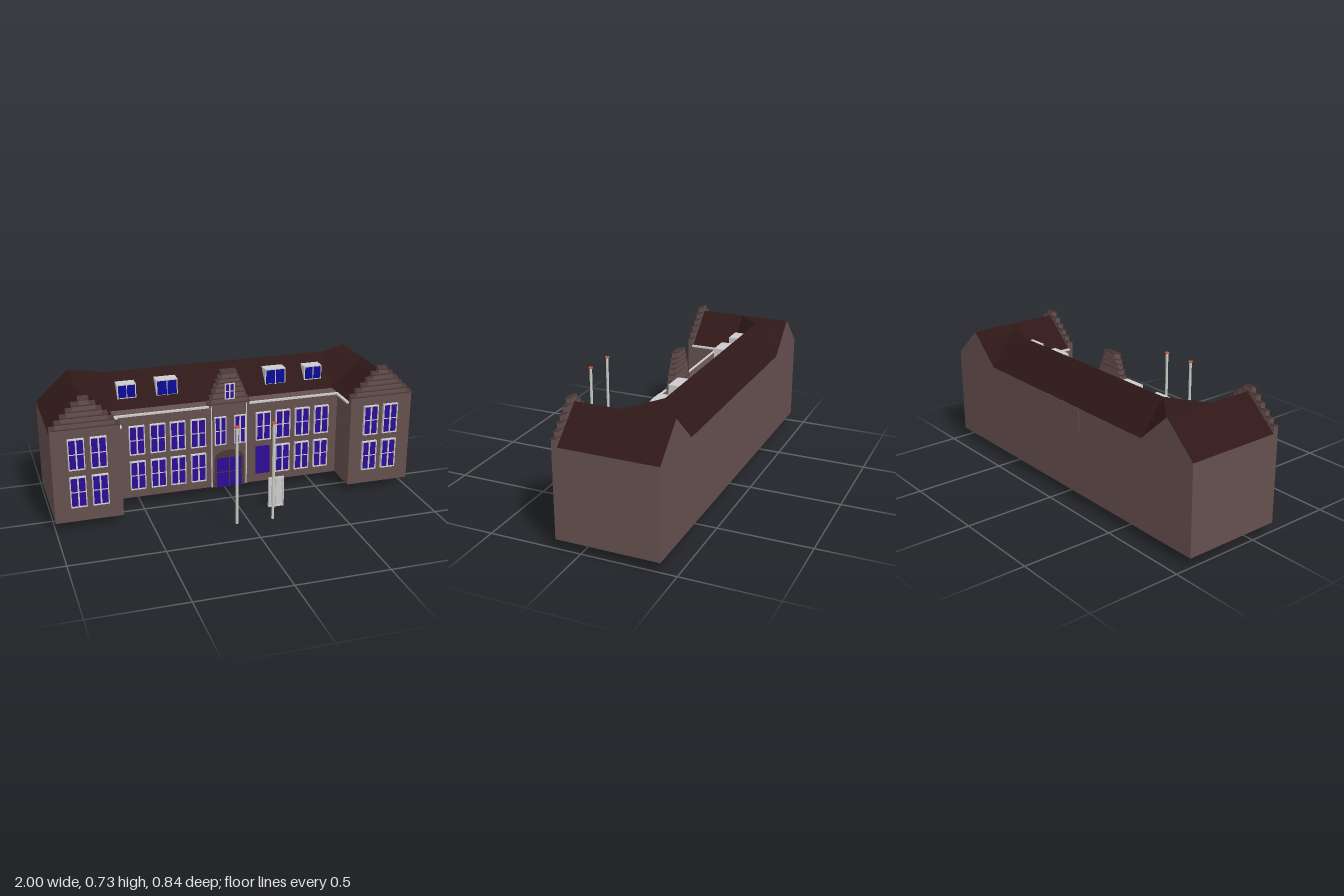
import * as THREE from 'three';

const mat = (color, side = THREE.FrontSide) =>
  new THREE.MeshStandardMaterial({ color, side, flatShading: true });
const WALL = mat(0x65504e), ROOF = mat(0x301818, THREE.DoubleSide), GREY = mat(0xcccccc);
const PANE = mat(0x2c0c96), DORMER_PANE = mat(0x0c0c96), CAP = mat(0xc85a32), TRIM = mat(0x4a3836);
const BASE = 0.05, EAVE = 0.535, RIDGE = 0.70, BACK = -0.415, FRONT = -0.06, WING = 0.135;

export function createModel() {
  const root = new THREE.Group();

  const add = (parent, name, geometry, material) => {
    const m = new THREE.Mesh(geometry, material);
    m.name = name;
    parent.add(m);
    return m;
  };
  // box given by its limits on each axis
  const box = (parent, name, material, x0, x1, y0, y1, z0, z1) => {
    const m = add(parent, name, new THREE.BoxGeometry(x1 - x0, y1 - y0, z1 - z0), material);
    m.position.set((x0 + x1) / 2, (y0 + y1) / 2, (z0 + z1) / 2);
    return m;
  };
  // flat polygons, each a fan of corner points
  const faces = (parent, name, material, polys) => {
    const p = [];
    for (const f of polys)
      for (let i = 1; i < f.length - 1; i++) p.push(...f[0], ...f[i], ...f[i + 1]);
    const g = new THREE.BufferGeometry();
    g.setAttribute('position', new THREE.Float32BufferAttribute(p, 3));
    g.computeVertexNormals();
    return add(parent, name, g, material);
  };
  const group = (name, parent = root) => {
    const g = new THREE.Group();
    g.name = name;
    parent.add(g);
    return g;
  };

  // frame with a centre mullion and a crossbar
  const frame = (parent, w, h, d, bar = 0.005) => {
    const a = w / 2, b = h / 2;
    for (const s of [-1, 1]) {
      const x = s * (a - bar / 2), y = s * (b - bar / 2);
      box(parent, 'frameSide', GREY, x - bar / 2, x + bar / 2, -b, b, 0, d);
      box(parent, 'frameRail', GREY, -a, a, y - bar / 2, y + bar / 2, 0, d);
    }
    box(parent, 'mullion', GREY, -0.004, 0.004, -b, b, 0, d * 0.9);
    box(parent, 'crossbar', GREY, -a, a, -0.002, 0.002, 0, d * 0.8);
  };
  const window_ = (name, x, y, z, w, h, d = 0.017, pane = PANE) => {
    const g = group(name);
    g.position.set(x, y, z);
    frame(g, w, h, d);
    box(g, 'pane', pane, -w / 2 + 0.003, w / 2 - 0.003, -h / 2 + 0.003, h / 2 - 0.003, 0, d * 0.6);
    return g;
  };

  // stepped parapet: rows of [half width, top height] from the bottom up, with sloping caps
  const steppedGable = (name, x, z0, z1, bottom, steps) => {
    const g = group(name);
    g.position.x = x;
    let y = bottom;
    for (const [hw, top] of steps) {
      const fall = 0.011;
      const block = box(g, 'gableStep', WALL, -hw, hw, y, top, z0, z1);
      const cap = box(g, 'gableCap', TRIM, -hw - 0.002, hw + 0.002, top, top + 0.005, z0, z1 + 0.005);
      const slope = (mesh, all) => {
        const p = mesh.geometry.attributes.position;
        for (let i = 0; i < p.count; i++)
          if (p.getZ(i) > 0 && (all || p.getY(i) > 0)) p.setY(i, p.getY(i) - fall);
        mesh.geometry.computeVertexNormals();
      };
      slope(block, false);
      slope(cap, true);
      y = top - fall;
    }
  };

  // main block
  box(root, 'mainWalls', WALL, -0.64, 0.64, BASE, EAVE, BACK, FRONT);
  box(root, 'rearPanel', WALL, -0.155, 0.155, 0.4, EAVE, BACK - 0.003, BACK);
  const rz = -0.28, ez = -0.14, ry = 0.712;
  faces(root, 'mainRoof', ROOF, [
    [[-0.64, EAVE, ez], [0.64, EAVE, ez], [0.64, ry, rz], [-0.64, ry, rz]],
    [[0.64, EAVE, BACK], [-0.64, EAVE, BACK], [-0.64, ry, rz], [0.64, ry, rz]],
  ]);

  for (const s of [-1, 1]) {
    // side wings
    box(root, 'wingWalls', WALL, Math.min(s * 0.64, s), Math.max(s * 0.64, s), BASE, EAVE, BACK, WING);
    faces(root, 'wingRoof', ROOF, [
      [[s, EAVE, BACK], [s, EAVE, 0.105], [s * 0.82, RIDGE, 0.105], [s * 0.82, RIDGE, BACK]],
      [[s * 0.64, EAVE, BACK], [s * 0.64, EAVE, 0.105], [s * 0.82, RIDGE, 0.105], [s * 0.82, RIDGE, BACK]],
    ]);
    // junction between main ridge and wing ridge
    faces(root, 'roofJunction', ROOF, [
      [[s * 0.64, ry, rz], [s * 0.82, RIDGE, BACK], [s * 0.82, RIDGE, ez]],
      [[s * 0.64, ry, rz], [s * 0.82, RIDGE, ez], [s * 0.64, EAVE, ez]],
      [[s * 0.64, ry, rz], [s * 0.64, EAVE, BACK], [s * 0.82, RIDGE, BACK]],
    ]);
    faces(root, 'rearGable', mat(0x65504e, THREE.DoubleSide), [
      [[s, EAVE, BACK], [s * 0.82, RIDGE, BACK], [s * 0.64, EAVE, BACK]],
    ]);
    const steps = [];
    for (let i = 0; i < 6; i++) steps.push([0.18 - i * 0.03, 0.576 + i * 0.03]);
    steggableFix(steps);
    steppedGable('wingGable', s * 0.82, 0.105, WING, EAVE, steps);

    for (const dx of [-0.058, 0.058])
      for (const y of [0.22, 0.43]) window_('wingWindow', s * 0.815 + dx, y, WING, 0.085, 0.17);

    // gutters and downpipes
    const span = (a, b) => [Math.min(s * a, s * b), Math.max(s * a, s * b)];
    box(root, 'frontGutter', GREY, ...span(0.115, 0.64), 0.528, 0.538, FRONT, -0.046);
    box(root, 'wingGutter', GREY, ...span(0.625, 0.64), 0.528, 0.538, FRONT, 0.105);
    const pipe = add(root, 'downpipe', new THREE.CylinderGeometry(0.004, 0.004, EAVE - BASE, 8), GREY);
    pipe.position.set(s * 0.1, (EAVE + BASE) / 2, FRONT + 0.006);

    // flagpoles
    const pole = add(root, 'flagpole', new THREE.CylinderGeometry(0.0075, 0.0075, 0.535, 16), mat(0xc8ccc4));
    pole.position.set(s * 0.098, BASE + 0.2675, 0.405);
    const cap = add(root, 'flagpoleCap', new THREE.CylinderGeometry(0.013, 0.013, 0.006, 16), CAP);
    cap.position.set(s * 0.098, 0.588, 0.405);
  }

  // front windows; one opening has only its pane
  for (const x of [-0.518, -0.403, -0.292, -0.177, 0.198, 0.313, 0.428, 0.543]) {
    window_('upperWindow', x, 0.388, FRONT, 0.085, 0.165);
    if (x === 0.198) box(root, 'barePane', PANE, 0.158, 0.238, 0.1, 0.265, FRONT, FRONT + 0.008);
    else window_('lowerWindow', x, 0.183, FRONT, 0.085, 0.165);
  }
  const loose = group('looseWindowFrame');
  loose.position.set(0.198, 0.086, 0.165);
  frame(loose, 0.087, 0.172, 0.017, 0.008);
  box(loose, 'backing', GREY, -0.04, 0.04, -0.083, 0.083, 0.002, 0.01);

  // central bay, its gable and windows
  const bayZ = FRONT + 0.007;
  box(root, 'centralBay', WALL, -0.093, 0.093, BASE, EAVE, FRONT - 0.01, bayZ);
  steppedGable('centralGable', 0, -0.092, bayZ, EAVE - 0.01, [
    [0.118, 0.553], [0.103, 0.583], [0.09, 0.615], [0.078, 0.645], [0.066, 0.67], [0.056, 0.695], [0.043, 0.725],
  ]);
  for (const x of [-0.052, 0.06]) window_('bayWindow', x, 0.388, bayZ, 0.066, 0.165, 0.012);
  window_('gableWindow', 0.001, 0.615, bayZ, 0.055, 0.09, 0.012);

  // arched door surround and double door
  const arch = new THREE.Shape();
  arch.moveTo(-0.086, BASE);
  arch.lineTo(0.086, BASE);
  arch.lineTo(0.086, 0.22);
  arch.quadraticCurveTo(0.07, 0.268, 0, 0.27);
  arch.quadraticCurveTo(-0.07, 0.268, -0.086, 0.22);
  const surround = add(root, 'doorSurround',
    new THREE.ExtrudeGeometry(arch, { depth: 0.005, bevelEnabled: false, curveSegments: 8 }), TRIM);
  surround.position.z = bayZ;
  const door = group('doubleDoor');
  door.position.z = bayZ + 0.005;
  box(door, 'doorLeaves', PANE, -0.073, 0.069, BASE, 0.225, 0, 0.004);
  box(door, 'doorPost', TRIM, -0.005, 0.001, BASE, 0.225, 0, 0.007);
  box(door, 'doorRail', TRIM, -0.073, 0.069, 0.14, 0.144, 0, 0.007);

  // dormers
  for (const [x, w, h] of [[-0.538, 0.104, 0.08], [-0.315, 0.12, 0.09], [0.31, 0.12, 0.09], [0.535, 0.104, 0.08]]) {
    const d = group('dormer');
    d.position.set(x, 0.625, 0);
    box(d, 'dormerBox', GREY, -w / 2, w / 2, -h / 2, h / 2, -0.245, -0.178);
    box(d, 'dormerPane', DORMER_PANE, -w / 2 + 0.006, w / 2 - 0.006, -h / 2 + 0.006, h / 2 - 0.006, -0.18, -0.176);
    box(d, 'dormerMullion', GREY, -0.002, 0.002, -h / 2, h / 2, -0.18, -0.174);
  }
  return root;
}

// keeps the topmost step wide enough to read as a pier
function steggableFix(steps) {
  steps[steps.length - 1][0] = 0.026;
}
